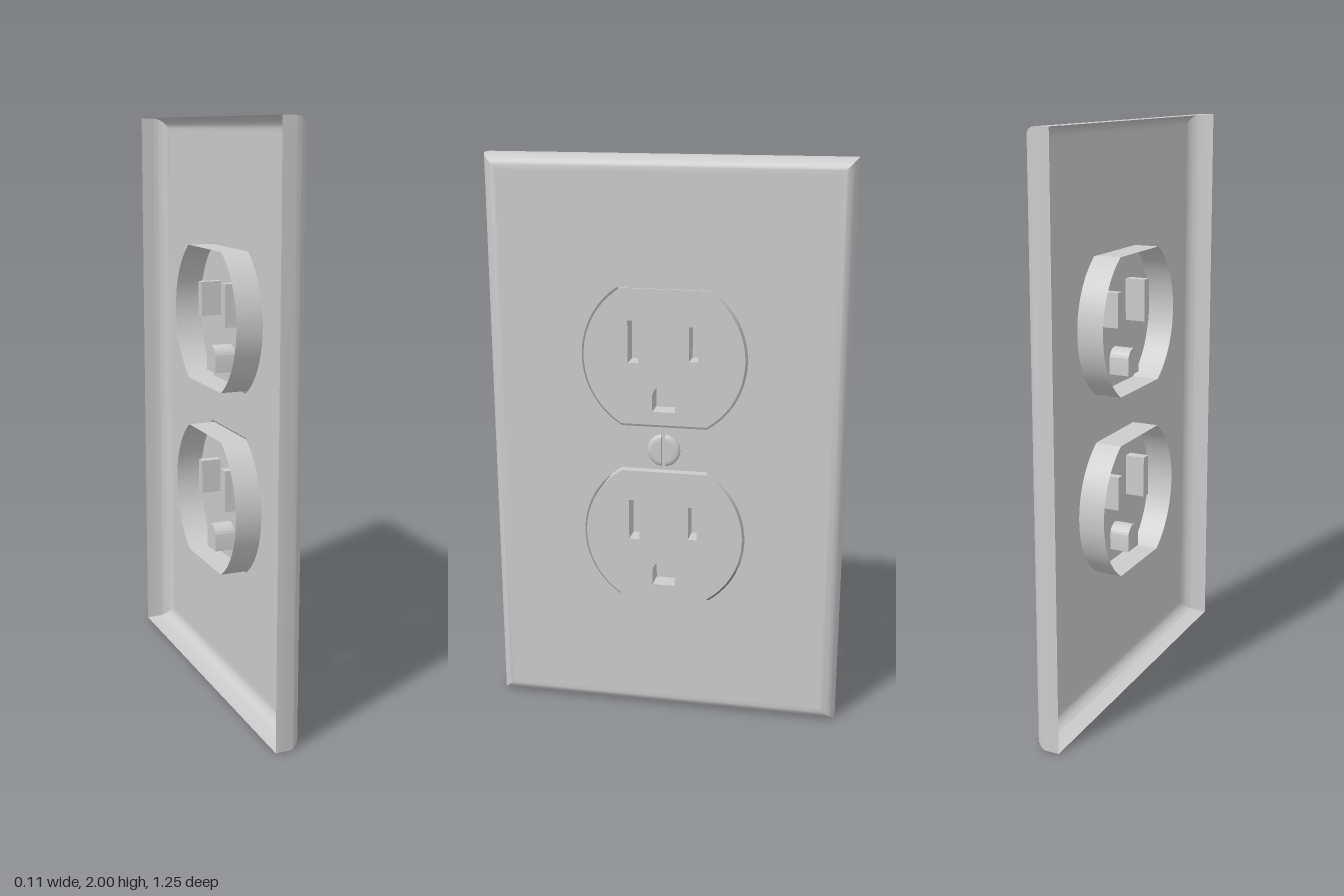
import * as THREE from 'three';
import { toCreasedNormals } from 'three/addons/utils/BufferGeometryUtils.js';

const W = 0.625, H = 1;               // plate half width and half height
const BACK = -0.055, PLATE = 0.04;    // depth of the plate's rear rim and front face
const FACE = 0.047, POCKET = -0.025;  // depth of the receptacle face and slot floors

const material = new THREE.MeshStandardMaterial({ color: 0xcccccc, side: THREE.DoubleSide });

function addMesh(parent, name, geometry) {
  const mesh = new THREE.Mesh(geometry, material);
  mesh.name = name;
  parent.add(mesh);
  return mesh;
}

// Skin between successive closed counter-clockwise loops of Vector3, running back to front
function loft(loops) {
  const pos = [];
  for (let i = 0; i + 1 < loops.length; i++) {
    const a = loops[i], b = loops[i + 1], n = a.length;
    for (let j = 0; j < n; j++) {
      const k = (j + 1) % n;
      for (const p of [a[j], a[k], b[k], a[j], b[k], b[j]]) pos.push(p.x, p.y, p.z);
    }
  }
  const geometry = new THREE.BufferGeometry();
  geometry.setAttribute('position', new THREE.Float32BufferAttribute(pos, 3));
  return toCreasedNormals(geometry, 0.5);
}

// Straight wall following a shape's outline between two depths
function wall(shape, z0, z1) {
  const pts = shape.getPoints(24);
  if (pts[0].distanceTo(pts[pts.length - 1]) < 1e-6) pts.pop();
  return loft([z0, z1].map(z => pts.map(p => new THREE.Vector3(p.x, p.y, z))));
}

const flat = (shape, z) => new THREE.ShapeGeometry(shape, 24).translate(0, 0, z);

function rect(x0, y0, x1, y1) {
  return new THREE.Shape([[x0, y0], [x1, y0], [x1, y1], [x0, y1]].map(p => new THREE.Vector2(...p)));
}

// Circle cut off flat at the top and bottom
function cutCircle(cy, r, bottom, top) {
  const a = Math.asin(bottom / r), b = Math.asin(top / r);
  const shape = new THREE.Shape();
  shape.absarc(0, cy, r, a, b, false);
  shape.absarc(0, cy, r, Math.PI - b, Math.PI - a, false);
  shape.closePath();
  return shape;
}

// Ground pin opening: flat bottom, round top
function groundShape() {
  const shape = new THREE.Shape();
  shape.moveTo(-0.04, -0.19);
  shape.lineTo(0.04, -0.19);
  shape.absarc(0, -0.138, 0.04, 0, Math.PI, false);
  shape.closePath();
  return shape;
}

function makePlate(centres) {
  const plate = new THREE.Group();
  plate.name = 'coverPlate';

  // Sides with a rounded, mitred front edge
  const r = 0.05;
  const ring = (inset, z) => [[-1, -1], [1, -1], [1, 1], [-1, 1]].map(
    ([sx, sy]) => new THREE.Vector3(sx * (W - inset), H + sy * (H - inset), z));
  const rings = [ring(0, BACK)];
  for (let i = 0; i <= 10; i++) {
    const t = (i / 10) * Math.PI / 2;
    rings.push(ring(r * (1 - Math.cos(t)), PLATE - r + r * Math.sin(t)));
  }
  addMesh(plate, 'plateSides', loft(rings));

  // Front with a slightly oversized opening around each receptacle
  const front = rect(-W + r, r, W - r, 2 * H - r);
  for (const cy of centres) {
    const upper = cy > H;
    front.holes.push(cutCircle(cy, 0.288, upper ? -0.246 : -0.237, upper ? 0.237 : 0.246));
  }
  addMesh(plate, 'plateFront', flat(front, PLATE));
  return plate;
}

function makeReceptacle(cy) {
  const group = new THREE.Group();
  group.name = 'receptacle';
  group.position.y = cy;
  const face = cutCircle(0, 0.28, -0.237, 0.237);
  addMesh(group, 'receptacleSkirt', wall(face, BACK + 0.005, FACE));

  // Blind pockets behind the face
  const openings = {
    wideSlot: rect(-0.125, -0.02, -0.088, 0.127),
    narrowSlot: rect(0.088, -0.008, 0.119, 0.112),
    groundHole: groundShape(),
  };
  for (const [name, shape] of Object.entries(openings)) {
    addMesh(group, name + 'Wall', wall(shape, POCKET, FACE));
    addMesh(group, name + 'Floor', flat(shape, POCKET));
    face.holes.push(shape);
  }
  addMesh(group, 'receptacleFace', flat(face, FACE));
  return group;
}

function makeScrew() {
  const screw = new THREE.Group();
  screw.name = 'screw';
  screw.position.set(0, H, PLATE);
  const R = 0.058, slot = 0.007, height = 0.015;
  addMesh(screw, 'screwSlotFloor', new THREE.CircleGeometry(R, 32).translate(0, 0, 0.002));

  // Radius and height of the rounded head
  const profile = [new THREE.Vector2(R, 0)];
  for (let i = 0; i <= 8; i++) {
    const t = (i / 8) * Math.PI / 2;
    profile.push(new THREE.Vector2(R - 0.022 * (1 - Math.cos(t)), 0.004 + (height - 0.004) * Math.sin(t)));
  }
  profile.push(new THREE.Vector2(0, height));

  for (const side of [0, Math.PI]) {
    const half = new THREE.Group();
    half.name = 'screwHeadHalf';
    half.rotation.z = side;
    // Half dome pushed clear of the slot
    const dome = new THREE.LatheGeometry(profile, 24, 0, Math.PI).rotateX(Math.PI / 2);
    const p = dome.attributes.position;
    for (let i = 0; i < p.count; i++) p.setX(i, Math.max(p.getX(i), slot));
    addMesh(half, 'screwDome', dome);
    // Slot wall
    const outline = profile.slice(0, -1);
    const mirrored = outline.map(v => new THREE.Vector2(-v.x, v.y)).reverse();
    const cheek = new THREE.ShapeGeometry(new THREE.Shape([...outline, ...mirrored]));
    cheek.rotateX(Math.PI / 2).rotateZ(Math.PI / 2).translate(slot, 0, 0);
    addMesh(half, 'screwSlotWall', cheek);
    screw.add(half);
  }
  return screw;
}

export function createModel() {
  const model = new THREE.Group();
  model.name = 'wallOutlet';
  const centres = [1.328, 0.682];
  model.add(makePlate(centres), makeScrew());
  for (const cy of centres) model.add(makeReceptacle(cy));

  // Built facing +z, then turned to face +x
  model.rotation.y = Math.PI / 2;
  return model;
}
